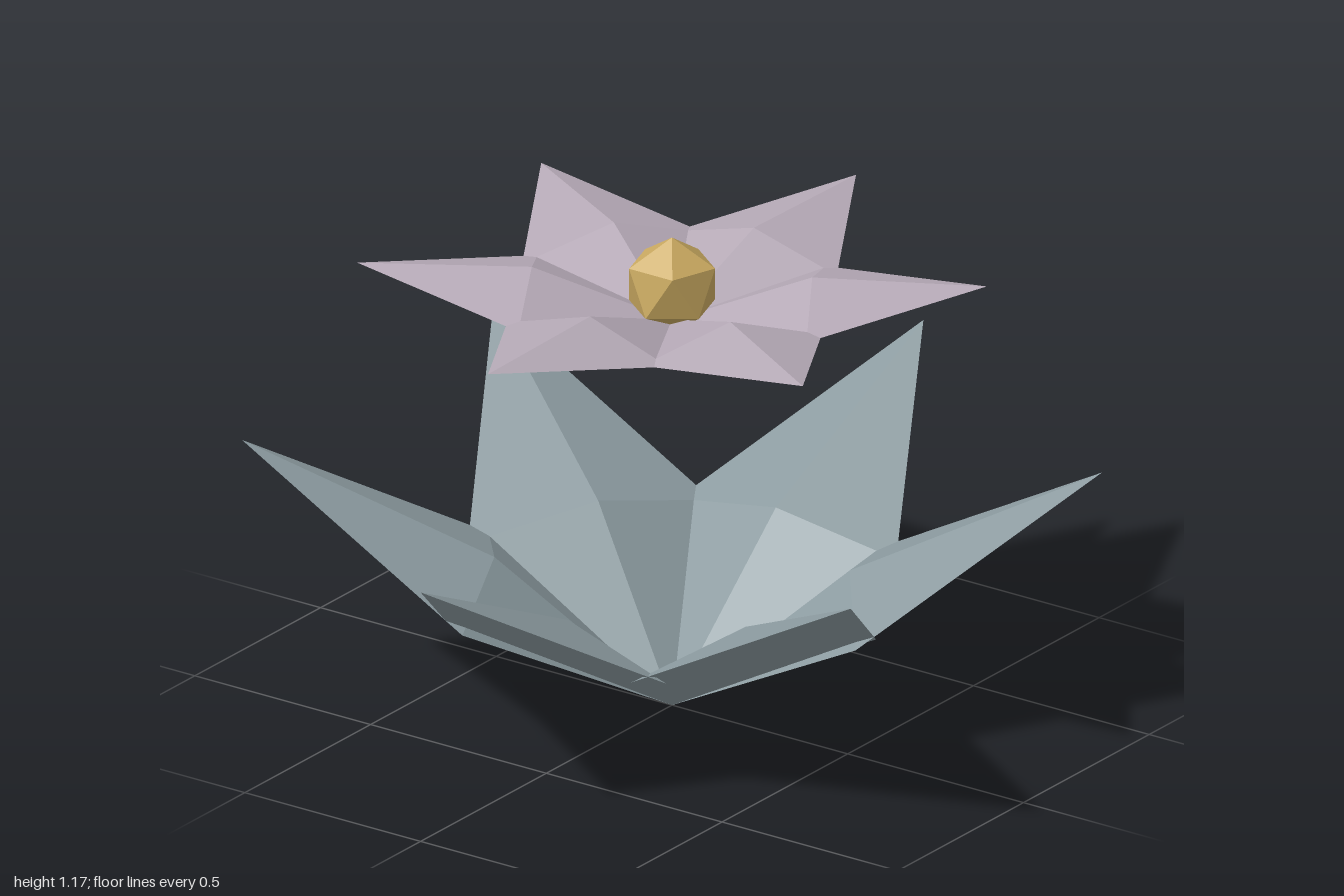
import * as THREE from 'three';

const flatMaterial = (name, color) => {
  const m = new THREE.MeshStandardMaterial({ color, flatShading: true });
  m.name = name;
  return m;
};

// Solid kite-shaped petal along +x: flat underside, ridged top with one raised midrib point
function petalGeometry({ base, corner, rib, tip }) {
  const points = [
    [0, base, 0],
    [corner.r, corner.y, corner.half],
    [rib.r, rib.y, 0],
    [corner.r, corner.y, -corner.half],
    [tip.r, tip.y, 0],
  ];
  const g = new THREE.BufferGeometry();
  g.setAttribute('position', new THREE.Float32BufferAttribute(points.flat(), 3));
  g.setIndex([
    0, 1, 2, 0, 2, 3, 1, 4, 2, 2, 4, 3, // ridged top
    0, 4, 1, 0, 3, 4, // flat underside
  ]);
  const flat = g.toNonIndexed();
  flat.computeVertexNormals();
  return flat;
}

// Ring of six equal petals
function petalRing(name, shape, material) {
  const ring = new THREE.Group();
  ring.name = name + 'Petals';
  const geometry = petalGeometry(shape);
  for (let i = 0; i < 6; i++) {
    const petal = new THREE.Mesh(geometry, material);
    petal.name = name + 'Petal';
    petal.rotation.y = (i * Math.PI) / 3;
    ring.add(petal);
  }
  return ring;
}

export function createModel() {
  const model = new THREE.Group();
  model.name = 'flower';

  // Large, steep lower petals
  model.add(petalRing('lower', {
    base: 0,
    corner: { r: 0.457, y: 0.286, half: 0.311 },
    rib: { r: 0.413, y: 0.355 },
    tip: { r: 1, y: 0.625 },
  }, flatMaterial('slate', 0x8c9ba0)));

  // Small, nearly level upper petals
  model.add(petalRing('upper', {
    base: 0.968,
    corner: { r: 0.335, y: 1.02, half: 0.229 },
    rib: { r: 0.326, y: 1.087 },
    tip: { r: 0.732, y: 1.081 },
  }, flatMaterial('lilac', 0xb5a9b6)));

  // Faceted centre, turned to stand on one corner
  const centre = new THREE.Mesh(new THREE.IcosahedronGeometry(0.117, 0), flatMaterial('gold', 0xc9a960));
  centre.name = 'centre';
  centre.rotation.z = -Math.atan(2 / (1 + Math.sqrt(5)));
  centre.position.y = 1.057;
  model.add(centre);

  return model;
}
